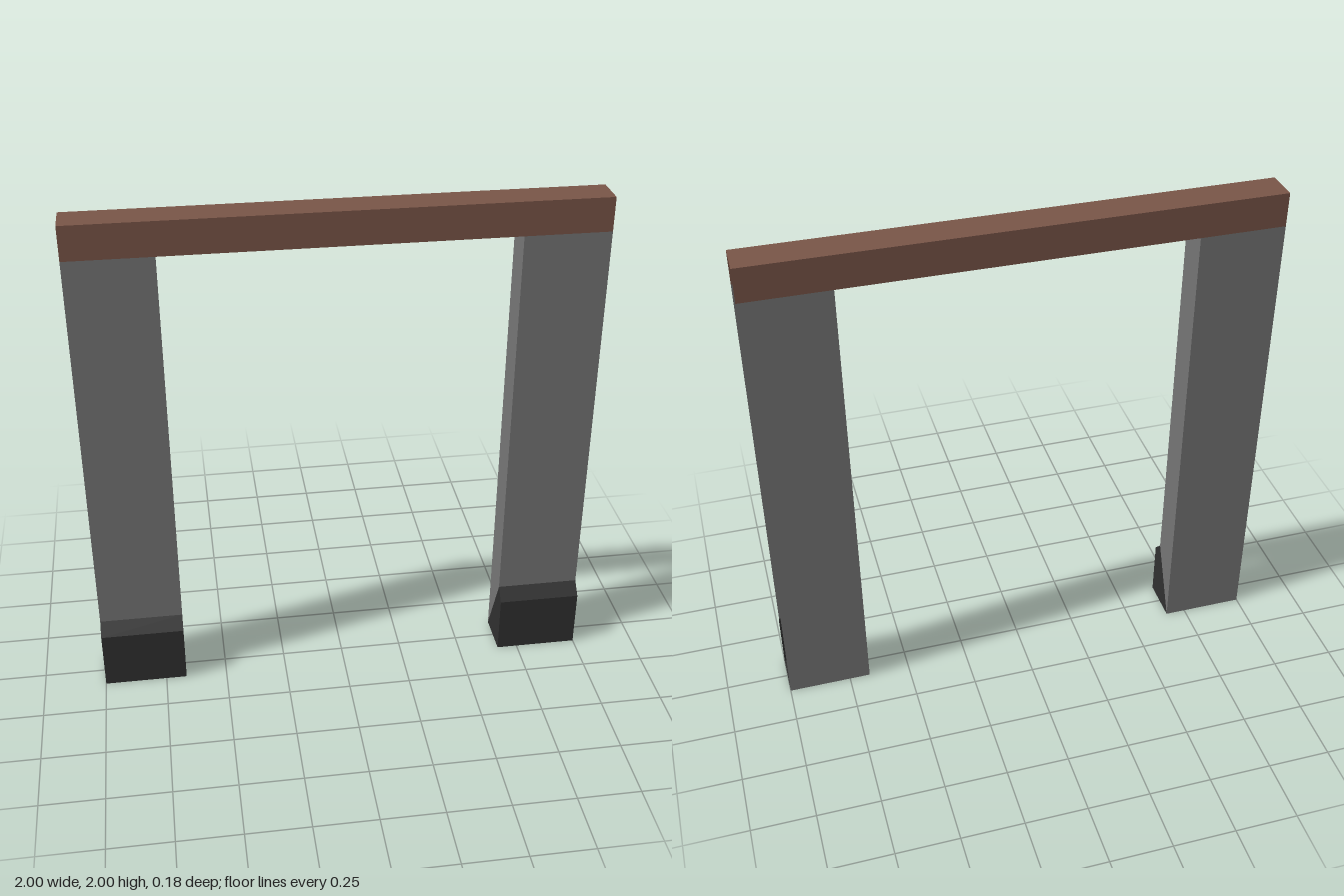
import * as THREE from 'three';

const BACK = -0.089, FRONT = 0.044, TOE = 0.089; // z positions
const TOP = 2, BEAM = 1.867, FOOT = 0.289, TOE_TOP = 0.24; // y positions
const INNER = 0.667, OUTER = 1; // x extent of a post

const material = (color) => new THREE.MeshStandardMaterial({ color, side: THREE.DoubleSide, flatShading: true });
const brown = material(0x795548), grey = material(0x757575), dark = material(0x303030);

// Mesh from four-cornered faces; mirror = -1 flips x and the corner order
function faces(name, mat, quads, mirror = 1) {
  const pos = [];
  for (const q of quads) {
    const p = q.map(([x, y, z]) => [x * mirror, y, z]);
    if (mirror < 0) p.reverse();
    for (const i of [0, 1, 2, 0, 2, 3]) pos.push(...p[i]);
  }
  const geo = new THREE.BufferGeometry();
  geo.setAttribute('position', new THREE.Float32BufferAttribute(pos, 3));
  geo.computeVertexNormals();
  const mesh = new THREE.Mesh(geo, mat);
  mesh.name = name;
  return mesh;
}

// Sweep a [z, y] profile along x, giving one face per segment
function sweep(profile, x0, x1) {
  return profile.slice(1).map(([zb, yb], i) => {
    const [za, ya] = profile[i];
    return [[x0, ya, za], [x1, ya, za], [x1, yb, zb], [x0, yb, zb]];
  });
}

// Flat side panel from four [z, y] corners
const panel = (x, corners) => corners.map(([z, y]) => [x, y, z]);

function post(name, mirror) {
  const group = new THREE.Group();
  group.name = name;
  // Front, back and inner walls; the outer side is open
  group.add(faces('postWalls', grey, [
    ...sweep([[FRONT, FOOT], [FRONT, BEAM]], INNER, OUTER),
    ...sweep([[BACK, BEAM], [BACK, 0]], INNER, OUTER),
    panel(INNER, [[BACK, 0], [FRONT, FOOT], [FRONT, BEAM], [BACK, BEAM]]),
  ], mirror));
  // Projecting foot with a bevelled top
  const toe = [[BACK, 0], [TOE, 0], [TOE, TOE_TOP], [FRONT, FOOT]];
  group.add(faces('foot', dark, [...sweep(toe, INNER, OUTER), panel(INNER, toe)], mirror));
  return group;
}

export function createModel() {
  const model = new THREE.Group();
  model.name = 'doorFrame';
  model.add(post('leftPost', 1), post('rightPost', -1));
  // Lintel with open ends, and the underside between the posts
  model.add(faces('lintel', brown, sweep(
    [[FRONT, BEAM], [FRONT, TOP], [BACK, TOP], [BACK, BEAM]], -OUTER, OUTER)));
  model.add(faces('lintelUnderside', grey, sweep([[BACK, BEAM], [FRONT, BEAM]], -INNER, INNER)));
  return model;
}
